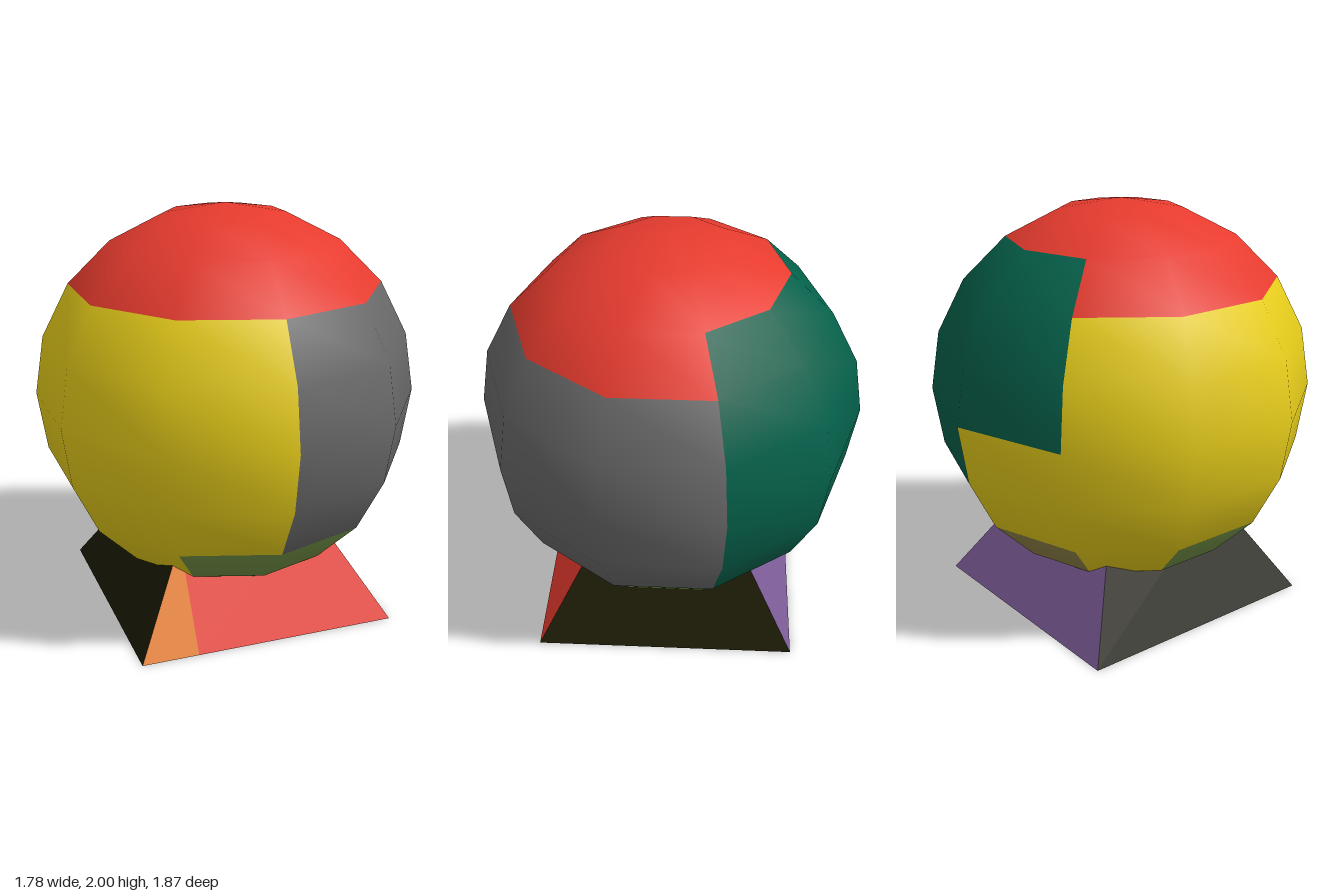
import * as THREE from 'three';

const RADIUS = 0.935, CENTRE = 1.065, SIDES = 10;

function material(name, color) {
  const m = new THREE.MeshStandardMaterial({ color });
  m.name = name;
  return m;
}

export function createModel() {
  const red = material('red', 0xee3d30);
  const yellow = material('yellow', 0xe8ce1a);
  const grey = material('grey', 0x686868);
  const teal = material('teal', 0x04604a);
  const green = material('leaf green', 0x739247);
  const brown = material('olive brown', 0x8e8348);
  const orange = material('orange', 0xe67f24);
  const dark = material('dark olive', 0x1b1a03);
  const purple = material('purple', 0x7d5c97);
  const maroon = material('maroon', 0x621f19);

  const model = new THREE.Group();
  model.name = 'ballOnStand';

  // Ball colours by cell: rows from the top, columns from the front towards +x.
  // [material, first column, columns, first row, rows]; later patches paint over earlier ones
  const patches = [
    [red, 0, 10, 0, 3],
    [grey, 0, 3, 3, 7],
    [yellow, 5, 5, 3, 7],
    [teal, 3, 2, 2, 5],
    [teal, 5, 1, 2, 3],
    [green, 9, 2, 7, 3],
    [green, 2, 1, 7, 3],
    [green, 7, 1, 7, 3],
    [brown, 3, 3, 7, 3],
  ];
  const cells = [];
  for (const [mat, col, cols, row, rows] of patches) {
    for (let r = row; r < row + rows; r++) {
      for (let c = col; c < col + cols; c++) cells[r * SIDES + c % SIDES] = mat;
    }
  }

  // One triangle per cell at the poles, two elsewhere
  const ballMaterials = [red, yellow, grey, teal, green, brown];
  const ballGeometry = new THREE.SphereGeometry(RADIUS, SIDES, SIDES, Math.PI / 2);
  ballGeometry.clearGroups();
  let start = 0;
  cells.forEach((mat, i) => {
    const row = Math.floor(i / SIDES);
    const count = row === 0 || row === SIDES - 1 ? 3 : 6;
    ballGeometry.addGroup(start, count, ballMaterials.indexOf(mat));
    start += count;
  });
  const ball = new THREE.Mesh(ballGeometry, ballMaterials);
  ball.name = 'ball';
  ball.position.y = CENTRE;
  model.add(ball);

  // Stand: a square pyramid tapering towards the ball's centre, cut off inside it
  const stand = new THREE.Group();
  stand.name = 'stand';
  model.add(stand);

  const HALF = 0.635, TOP = 0.5, SPLIT = -0.36;
  const taper = y => HALF * (1 - y / CENTRE);
  const top = taper(TOP);
  const splitY = CENTRE * (1 + SPLIT / HALF);

  // Flat convex face; points are [x, y] on the front slope, counter-clockwise
  function slope(name, mat, points, turn) {
    const p = points.map(([x, y]) => [x, y, taper(y)]);
    const positions = [];
    for (let i = 1; i < p.length - 1; i++) positions.push(...p[0], ...p[i], ...p[i + 1]);
    const geometry = new THREE.BufferGeometry();
    geometry.setAttribute('position', new THREE.Float32BufferAttribute(positions, 3));
    geometry.computeVertexNormals();
    const mesh = new THREE.Mesh(geometry, mat);
    mesh.name = name;
    mesh.rotation.y = turn * Math.PI / 2;
    stand.add(mesh);
  }

  const whole = [[-HALF, 0], [HALF, 0], [top, TOP], [-top, TOP]];
  slope('standLeft', dark, whole, 1);
  slope('standBack', purple, whole, 2);
  slope('standRight', dark, whole, 3);
  // Front slope is divided by an upright line
  slope('standFrontCorner', orange, [[-HALF, 0], [SPLIT, 0], [SPLIT, splitY]], 0);
  slope('standFront', red, [[SPLIT, 0], [HALF, 0], [top, TOP], [-top, TOP], [SPLIT, splitY]], 0);

  // Underside
  const bottom = new THREE.Mesh(new THREE.PlaneGeometry(HALF * 2, HALF * 2), maroon);
  bottom.name = 'standBottom';
  bottom.rotation.x = Math.PI / 2;
  stand.add(bottom);

  return model;
}
